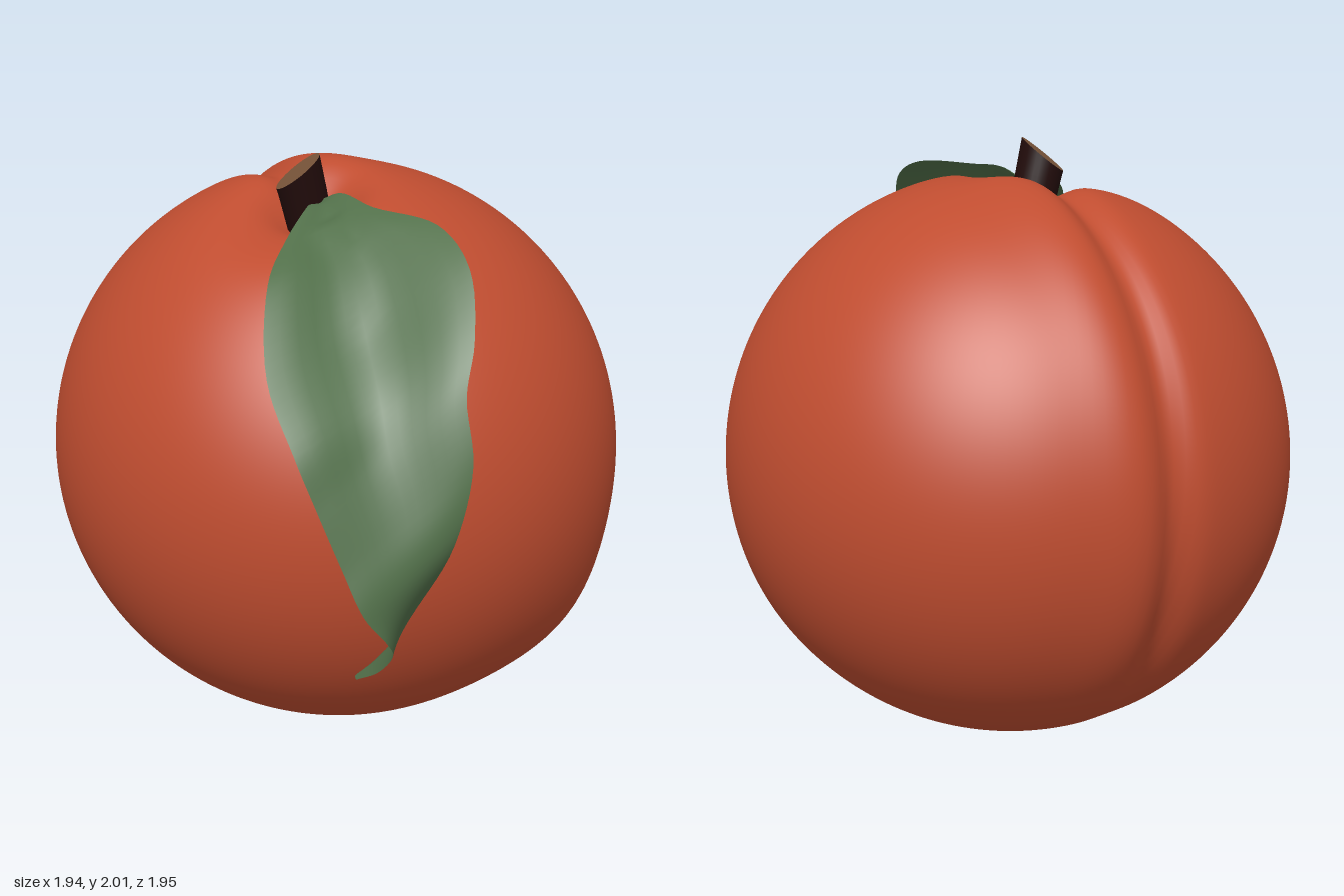
import * as THREE from 'three';
import { mergeVertices } from 'three/addons/utils/BufferGeometryUtils.js';

const mat = (name, color, side = THREE.FrontSide) => {
  const m = new THREE.MeshStandardMaterial({ color, side });
  m.name = name;
  return m;
};
const gauss = (d, w) => Math.exp(-(d * d) / (w * w));

// Round fruit with a stem hollow, a seam running down one side and a soft lower bulge
function fruitGeometry() {
  let g = new THREE.SphereGeometry(1, 160, 120);
  g.rotateX(0.13); // puts the fine rings around the stem hollow
  g.deleteAttribute('uv');
  g.deleteAttribute('normal');
  g = mergeVertices(g, 1e-5);
  const p = g.attributes.position;
  const v = new THREE.Vector3();
  const bulge = new THREE.Vector3(0.8, -0.58, -0.2).normalize();
  const seam = new THREE.Vector2(-0.8, -0.57).normalize();
  for (let i = 0; i < p.count; i++) {
    v.fromBufferAttribute(p, i);
    let r = 1 + 0.045 * gauss(v.distanceTo(bulge), 0.32);
    const dx = v.x * 0.97, dz = v.z * 0.945 - 0.145;
    const along = dx * seam.x + dz * seam.y;
    const across = dx * seam.y - dz * seam.x; // negative towards the front lobe
    const fade = THREE.MathUtils.smoothstep(along, 0.02, 0.2)
      * THREE.MathUtils.smoothstep(v.y, -0.95, -0.3);
    r += fade * (0.018 * gauss(across + 0.15, 0.12) - 0.042 * gauss(across, 0.065));
    v.multiplyScalar(r);
    let y = v.y * (v.y > 0 ? 0.972 : 0.95);
    if (v.y > 0) {
      y -= 0.14 * gauss(Math.hypot(dx, dz), 0.13);
      y -= 0.07 * gauss(Math.hypot(dx, dz - 0.16), 0.2);
    }
    p.setXYZ(i, v.x * 0.97, y + 0.95, v.z * 0.945 - 0.025);
  }
  g.computeVertexNormals();
  return g;
}

// Short stem with a slanted cut
function stemGeometry() {
  const base = new THREE.Vector3(0.012, 1.66, 0.12);
  const tip = new THREE.Vector3(-0.02, 1.955, 0.19);
  const axis = tip.clone().sub(base);
  const h = axis.length();
  const g = new THREE.CylinderGeometry(0.08, 0.072, h, 28, 4);
  const p = g.attributes.position;
  for (let i = 0; i < p.count; i++) {
    if (p.getY(i) > h / 2 - 1e-4) p.setY(i, p.getY(i) + 0.5 * p.getX(i) - 0.15 * p.getZ(i));
  }
  g.computeVertexNormals();
  g.applyQuaternion(new THREE.Quaternion().setFromUnitVectors(new THREE.Vector3(0, 1, 0), axis.normalize()));
  g.translate((base.x + tip.x) / 2, (base.y + tip.y) / 2, (base.z + tip.z) / 2);
  return g;
}

// Leaf blade stretched between two edge curves, sagging along the midrib and twisting at the tip
function leafGeometry() {
  const curve = (pts) => new THREE.CatmullRomCurve3(pts.map((a) => new THREE.Vector3(...a)));
  const left = curve([
    [0.03, 1.85, 0.2], [0.06, 1.87, 0.27], [0.1, 1.82, 0.48], [0.15, 1.74, 0.68],
    [0.26, 1.52, 0.88], [0.4, 1.34, 0.97], [0.48, 1.18, 0.975], [0.56, 1.01, 0.97],
    [0.63, 0.87, 0.965], [0.68, 0.77, 0.91], [0.665, 0.69, 0.84], [0.59, 0.59, 0.79], [0.49, 0.515, 0.745],
  ]);
  const right = curve([
    [0.06, 1.87, 0.17], [0.13, 1.9, 0.18], [0.28, 1.89, 0.245], [0.52, 1.875, 0.28],
    [0.68, 1.79, 0.39], [0.77, 1.62, 0.54], [0.79, 1.48, 0.63], [0.84, 1.29, 0.68],
    [0.81, 1.05, 0.73], [0.68, 0.8, 0.71], [0.61, 0.68, 0.705], [0.53, 0.58, 0.705], [0.475, 0.515, 0.725],
  ]);
  const rows = 72, cols = 12, pos = [], idx = [];
  const centre = new THREE.Vector3(0, 0.95, -0.025);
  for (let i = 0; i <= rows; i++) {
    const t = i / rows;
    const a = left.getPoint(t), b = right.getPoint(t);
    const sag = 0.13 * a.distanceTo(b) * (1 - THREE.MathUtils.smoothstep(t, 0.35, 0.75));
    for (let j = 0; j <= cols; j++) {
      const s = j / cols;
      const q = a.clone().lerp(b, s);
      const inward = centre.clone().sub(q).normalize();
      q.addScaledVector(inward, sag * Math.sin(Math.PI * s) ** 2);
      // keep the blade just above the skin
      const d = q.distanceTo(centre);
      if (d < 0.985 && t > 0.15) q.addScaledVector(inward, d - 0.985);
      pos.push(q.x, q.y, q.z);
      if (i < rows && j < cols) {
        const k = i * (cols + 1) + j, n = k + cols + 1;
        idx.push(k, n, k + 1, k + 1, n, n + 1);
      }
    }
  }
  const g = new THREE.BufferGeometry();
  g.setAttribute('position', new THREE.Float32BufferAttribute(pos, 3));
  g.setIndex(idx);
  g.computeVertexNormals();
  return g;
}

export function createModel() {
  const skin = mat('skin red', 0xc04d30);
  const bark = mat('dark bark', 0x220c0b);
  const wood = mat('cut wood', 0x7a563a);
  const green = mat('leaf green', 0x52704a, THREE.DoubleSide);

  const group = new THREE.Group();
  group.name = 'fruit';
  const add = (name, geometry, material) => {
    const m = new THREE.Mesh(geometry, material);
    m.name = name;
    group.add(m);
  };
  add('fruitBody', fruitGeometry(), skin);
  add('stem', stemGeometry(), [bark, wood, bark]);
  add('leaf', leafGeometry(), green);
  return group;
}
